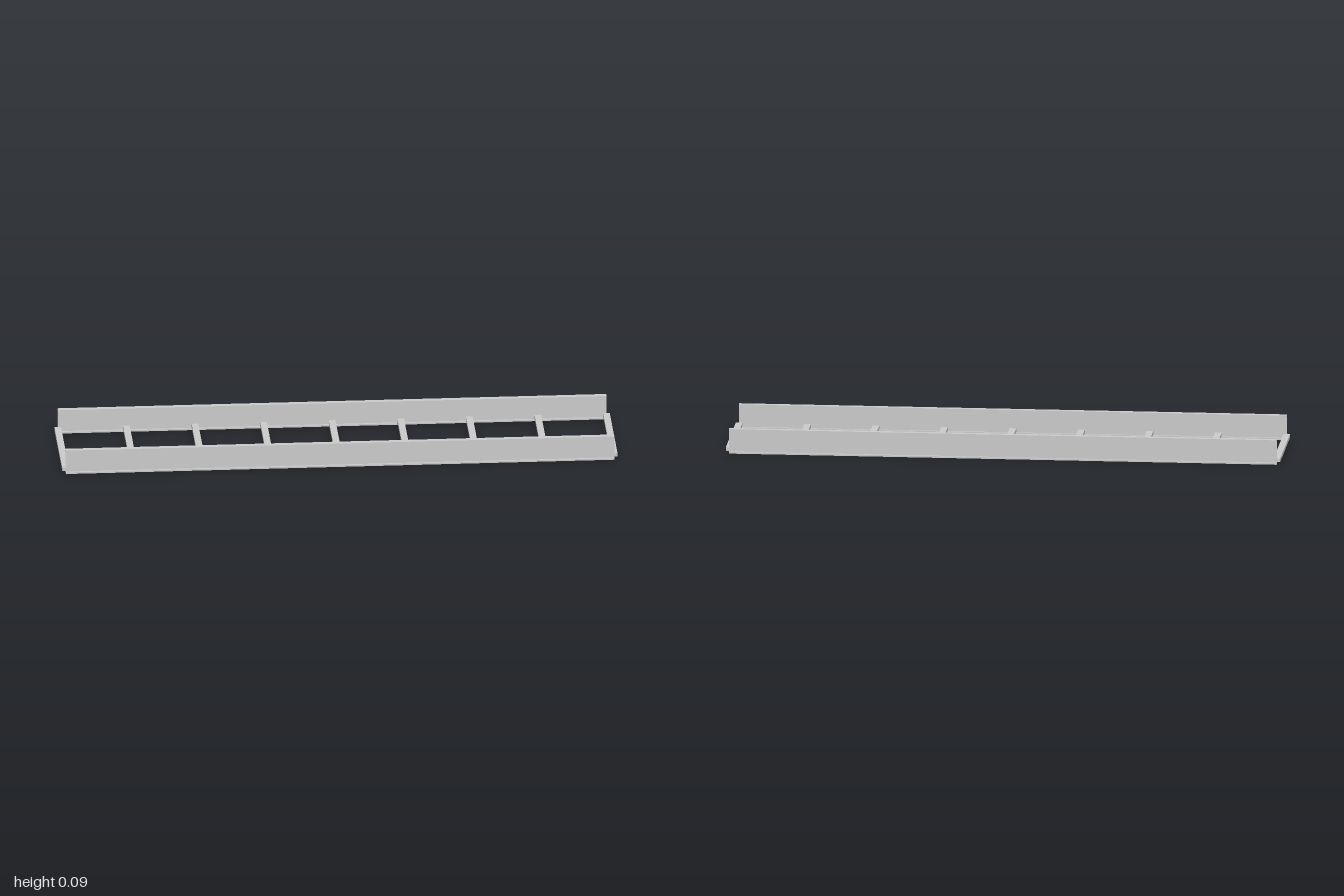
import * as THREE from 'three';

const material = new THREE.MeshStandardMaterial({ color: 0xcccccc, flatShading: true });

const RAIL_LENGTH = 1.976;
const RAIL_HEIGHT = 0.09;
const RAIL_Z = 0.199;
const FLANGE_HALF = 0.01;
const FLANGE_T = 0.006;
const WEB_HALF = 0.0015;
const RUNG_COUNT = 9;
const RUNG_SPACING = RAIL_LENGTH / (RUNG_COUNT - 1);

// I-section side rail, extruded along x
function createRail(name, z) {
  const f = FLANGE_HALF, w = WEB_HALF, h = RAIL_HEIGHT, t = FLANGE_T;
  const section = new THREE.Shape([
    [-f, 0], [f, 0], [f, t], [w, t], [w, h - t], [f, h - t],
    [f, h], [-f, h], [-f, h - t], [-w, h - t], [-w, t], [-f, t],
  ].map(([x, y]) => new THREE.Vector2(x, y)));
  const geometry = new THREE.ExtrudeGeometry(section, { depth: RAIL_LENGTH, bevelEnabled: false });
  geometry.translate(0, 0, -RAIL_LENGTH / 2);
  geometry.rotateY(Math.PI / 2);
  const rail = new THREE.Mesh(geometry, material);
  rail.name = name;
  rail.position.z = z;
  return rail;
}

export function createModel() {
  const tray = new THREE.Group();
  tray.name = 'ladderTray';
  tray.add(createRail('frontRail', RAIL_Z), createRail('backRail', -RAIL_Z));

  // Flat rungs resting just above the lower flanges
  const rungs = new THREE.Group();
  rungs.name = 'rungs';
  const rungGeometry = new THREE.BoxGeometry(0.024, 0.013, RAIL_Z * 2);
  for (let i = 0; i < RUNG_COUNT; i++) {
    const rung = new THREE.Mesh(rungGeometry, material);
    rung.name = `rung${i + 1}`;
    rung.position.set(-RAIL_LENGTH / 2 + i * RUNG_SPACING, 0.0145, 0);
    rungs.add(rung);
  }
  tray.add(rungs);
  return tray;
}
